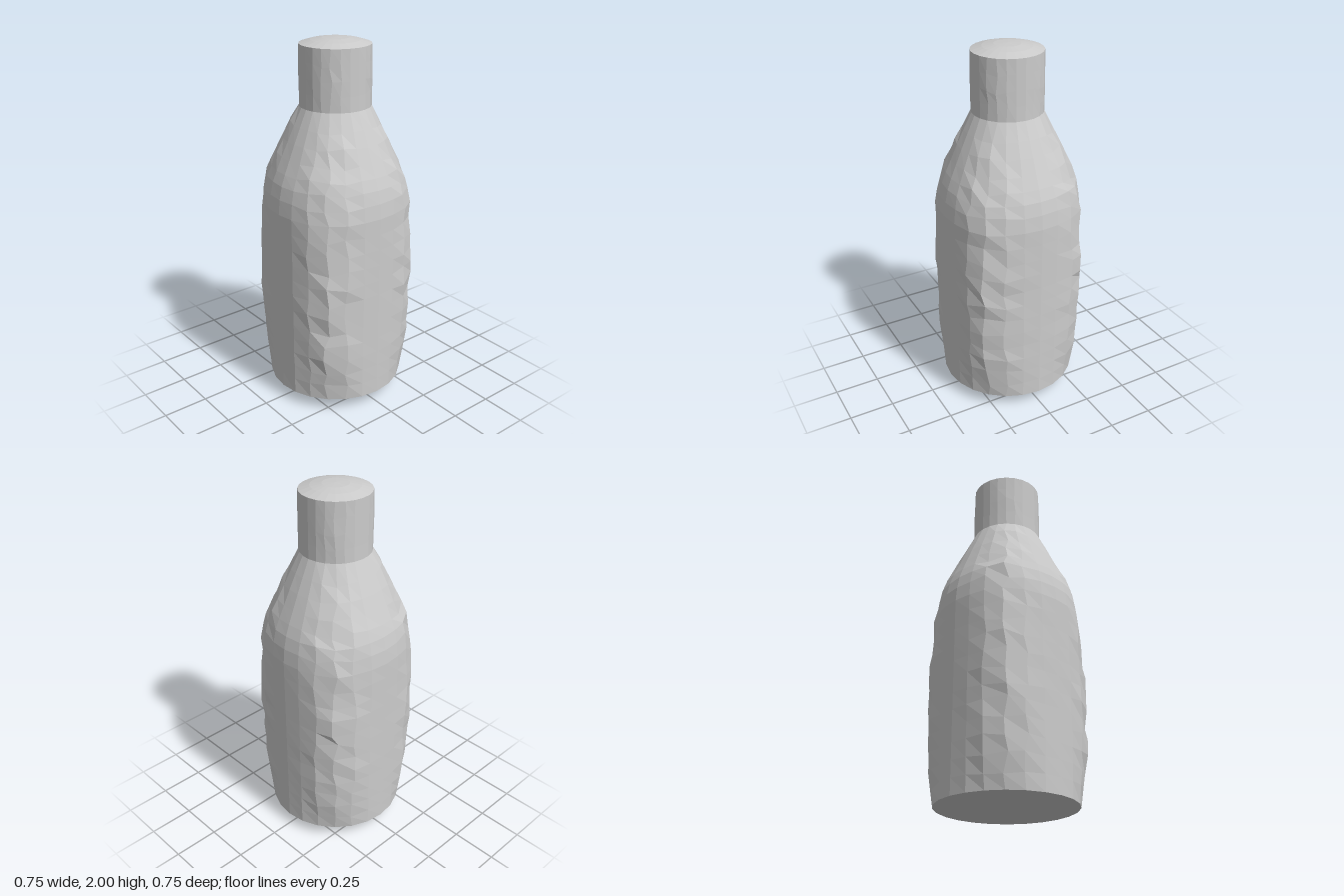
import * as THREE from 'three';

const SEGMENTS = 24;

// Repeatable noise in -1..1 for a column and a height
function noise(column, y, salt) {
  const s = Math.sin(column * 12.9898 + Math.round(y * 1000) * 0.78233 + salt * 37.719) * 43758.5453;
  return (s - Math.floor(s)) * 2 - 1;
}

// How far the four corners swell beyond the round section, by height
const SWELL = [
  [0, 0], [0.07, 0], [0.3, 0.035], [0.55, 0.046], [0.85, 0.042], [1.12, 0.026],
  [1.35, 0.018], [1.5, 0.012], [1.65, 0.001], [1.8, 0.004], [1.97, 0], [2, 0],
];
function swellAt(y) {
  const k = Math.max(1, SWELL.findIndex(([h]) => h >= y));
  const [y0, a] = SWELL[k - 1];
  const [y1, b] = SWELL[k];
  return THREE.MathUtils.mapLinear(y, y0, y1, a, b);
}

// Turned section with swollen, slightly irregular corners
function turned(name, profile) {
  const points = profile.map(([r, y]) => new THREE.Vector2(r, y));
  const geometry = new THREE.LatheGeometry(points, SEGMENTS);
  const pos = geometry.attributes.position;
  for (let i = 0; i < pos.count; i++) {
    const row = i % points.length;
    const column = Math.floor(i / points.length) % SEGMENTS;
    const { x: r, y } = points[row];
    const inner = row > 0 && row < points.length - 1 ? 1 : 0;
    const angle = (column / SEGMENTS) * Math.PI * 2;
    const corner = Math.abs(Math.sin(2 * angle)) ** 3;
    const swell = swellAt(y) * corner;
    const radius = r + swell * (1 + 0.22 * noise(column, y, 1));
    const turn = angle + (swell > 0.001 ? 0.05 * corner * noise(column, y, 2) : 0);
    const lift = inner * corner * 0.022 * noise(column, y, 3) * (swell > 0.001 ? 1 : 0);
    pos.setXYZ(i, Math.sin(turn) * radius, y + lift, Math.cos(turn) * radius);
  }
  const material = new THREE.MeshStandardMaterial({ color: 0xcccccc, flatShading: true });
  geometry.computeVertexNormals();
  const mesh = new THREE.Mesh(geometry, material);
  mesh.name = name;
  return mesh;
}

export function createModel() {
  const bottle = new THREE.Group();
  bottle.name = 'bottle';

  // Straight lower body, split into rows for its facets
  const bodyProfile = [];
  for (let i = 0; i <= 12; i++) bodyProfile.push([0.377, 0.07 + (1.05 * i) / 12]);

  bottle.add(
    // Shallow pointed underside
    turned('base', [[0, 0], [0.05, 0.004], [0.13, 0.02], [0.25, 0.045], [0.377, 0.07]]),
    turned('body', bodyProfile),
    // Shoulder curving in, then running straight to the neck
    turned('shoulder', [
      [0.377, 1.12], [0.369, 1.2], [0.354, 1.27], [0.332, 1.33],
      [0.302, 1.4], [0.268, 1.48], [0.232, 1.56], [0.19, 1.65],
    ]),
    turned('neck', [[0.19, 1.65], [0.189, 1.73], [0.189, 1.81], [0.189, 1.89], [0.189, 1.97]]),
    // Low domed top
    turned('top', [[0.189, 1.97], [0.13, 1.987], [0.07, 1.997], [0, 2]]),
  );
  return bottle;
}
